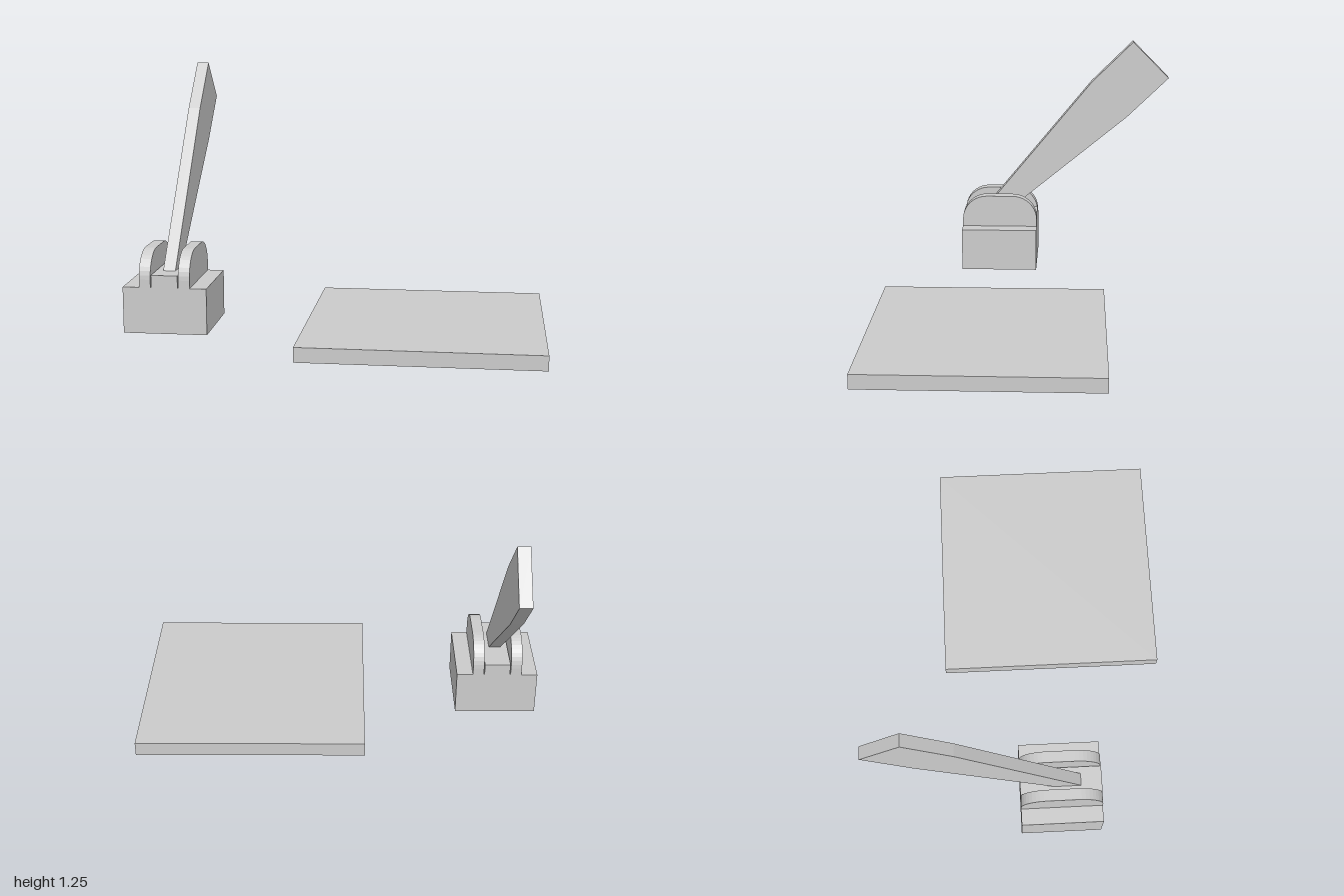
import * as THREE from 'three';

const material = new THREE.MeshStandardMaterial({ color: 0xcccccc, flatShading: true });

export function createModel() {
  const model = new THREE.Group();
  const lever = new THREE.Group();
  lever.name = 'leverAssembly';
  model.add(lever);

  // Box given by its minimum and maximum corners
  function box(name, parent, [x0, y0, z0], [x1, y1, z1]) {
    const mesh = new THREE.Mesh(new THREE.BoxGeometry(x1 - x0, y1 - y0, z1 - z0), material);
    mesh.position.set((x0 + x1) / 2, (y0 + y1) / 2, (z0 + z1) / 2);
    mesh.name = name;
    parent.add(mesh);
  }

  // Side profile drawn in (z, y), extruded across x and centred on x
  function sidePlate(name, shape, x, width) {
    const geometry = new THREE.ExtrudeGeometry(shape, { depth: width, bevelEnabled: false, curveSegments: 5 });
    geometry.translate(0, 0, -width / 2).rotateY(-Math.PI / 2);
    const mesh = new THREE.Mesh(geometry, material);
    mesh.position.x = x;
    mesh.name = name;
    lever.add(mesh);
  }

  // Flat square slab
  box('slab', model, [-0.125, 0, -0.39], [1, 0.07, 0.735]);

  // Lever base and the raised strip between the cheeks
  const back = -0.028, front = 0.378, middle = -0.797;
  box('base', lever, [-1, 0.01, back], [-0.594, 0.235, front]);
  box('centreStrip', lever, [-0.861, 0.235, back], [-0.733, 0.295, front]);

  // Two upright cheeks with rounded shoulders
  const r = 0.132, top = 0.405;
  const cheek = new THREE.Shape();
  cheek.moveTo(back, 0.225);
  cheek.lineTo(front, 0.225);
  cheek.lineTo(front, top - r);
  cheek.absarc(front - r, top - r, r, 0, Math.PI / 2, false);
  cheek.absarc(back + r, top - r, r, Math.PI / 2, Math.PI, false);
  cheek.closePath();
  for (const side of [-1, 1]) {
    sidePlate(side < 0 ? 'rightCheek' : 'leftCheek', cheek, middle + side * 0.095, 0.055);
  }

  // Slanted handle widening towards its square end
  const handle = new THREE.Shape([
    [0.274, 0.295], [0.213, 0.234], [-0.516, 0.835],
    [-0.737, 1.05], [-0.543, 1.245], [-0.322, 1.025],
  ].map(([z, y]) => new THREE.Vector2(z, y)));
  sidePlate('handle', handle, middle, 0.06);

  return model;
}
